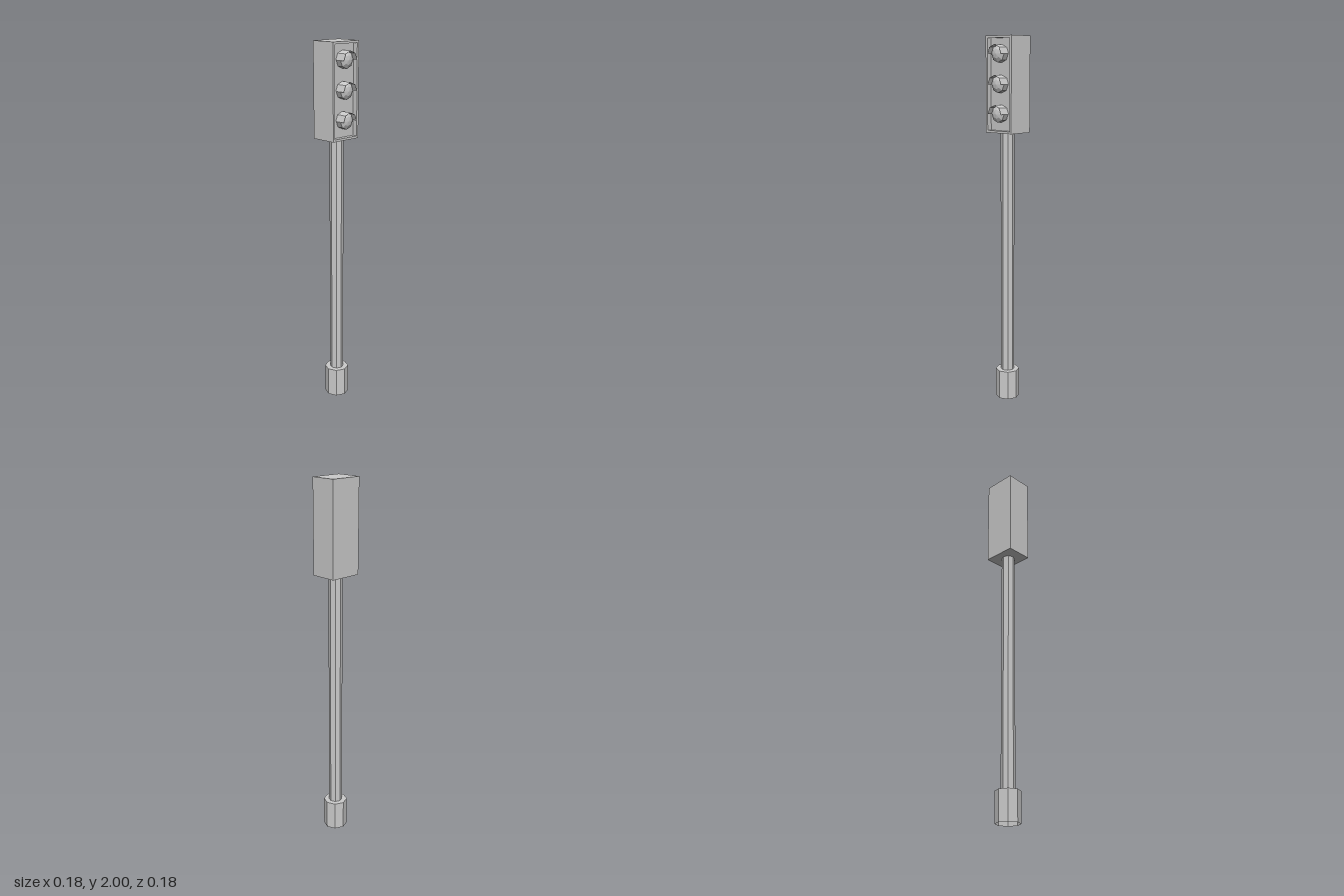
import * as THREE from 'three';

export function createModel() {
  const model = new THREE.Group();
  const solid = new THREE.MeshStandardMaterial({ color: 0xcccccc, flatShading: true });
  const open = new THREE.MeshStandardMaterial({ color: 0xcccccc, flatShading: true, side: THREE.DoubleSide });
  const axisZ = -0.014, frontZ = 0.057, recessZ = 0.03, backZ = -0.09;

  function add(name, geometry, material, x, y, z, parent = model) {
    const mesh = new THREE.Mesh(geometry, material);
    mesh.name = name;
    mesh.position.set(x, y, z);
    parent.add(mesh);
    return mesh;
  }

  // Octagonal foot, hollow underneath with a closed top
  const footProfile = [[0.066, 0], [0.066, 0.163], [0.035, 0.163]].map(p => new THREE.Vector2(...p));
  add('foot', new THREE.LatheGeometry(footProfile, 8), open, 0, 0, axisZ);

  // Octagonal pole
  add('pole', new THREE.CylinderGeometry(0.037, 0.037, 1.337, 8, 1, true), open, 0, 0.163 + 1.337 / 2, axisZ);

  // Signal housing: a solid back and a raised rim around the recessed front
  const w = 0.09, h = 0.25, rim = 0.012, centreY = 1.75;
  add('housing', new THREE.BoxGeometry(w * 2, h * 2, recessZ - backZ), solid, 0, centreY, (recessZ + backZ) / 2);
  const rectangle = (Type, a, b) => new Type([[-a, -b], [a, -b], [a, b], [-a, b]].map(p => new THREE.Vector2(...p)));
  const frame = rectangle(THREE.Shape, w, h);
  frame.holes.push(rectangle(THREE.Path, w - rim, h - rim));
  add('housingRim', new THREE.ExtrudeGeometry(frame, { depth: frontZ - recessZ, bevelEnabled: false }), solid, 0, centreY, recessZ);

  // Three lamps, each a faceted lens under a half-octagon hood
  const lensProfile = [[0.044, 0], [0.044, 0.032], [0.024, 0.043], [0, 0.047]].map(p => new THREE.Vector2(...p));
  const lensGeometry = new THREE.LatheGeometry(lensProfile, 8).rotateX(Math.PI / 2);
  const hoodDepth = 0.089 - recessZ;
  const hoodGeometry = new THREE.CylinderGeometry(0.047, 0.047, hoodDepth, 4, 1, true, Math.PI / 2, Math.PI).rotateX(Math.PI / 2);
  [1.908, 1.753, 1.6].forEach((y, i) => {
    const lamp = new THREE.Group();
    lamp.name = ['topLamp', 'middleLamp', 'bottomLamp'][i];
    lamp.position.set(0, y, recessZ);
    add('lens', lensGeometry, open, 0, 0, 0, lamp);
    add('hood', hoodGeometry, open, 0, 0, hoodDepth / 2, lamp);
    model.add(lamp);
  });
  return model;
}
